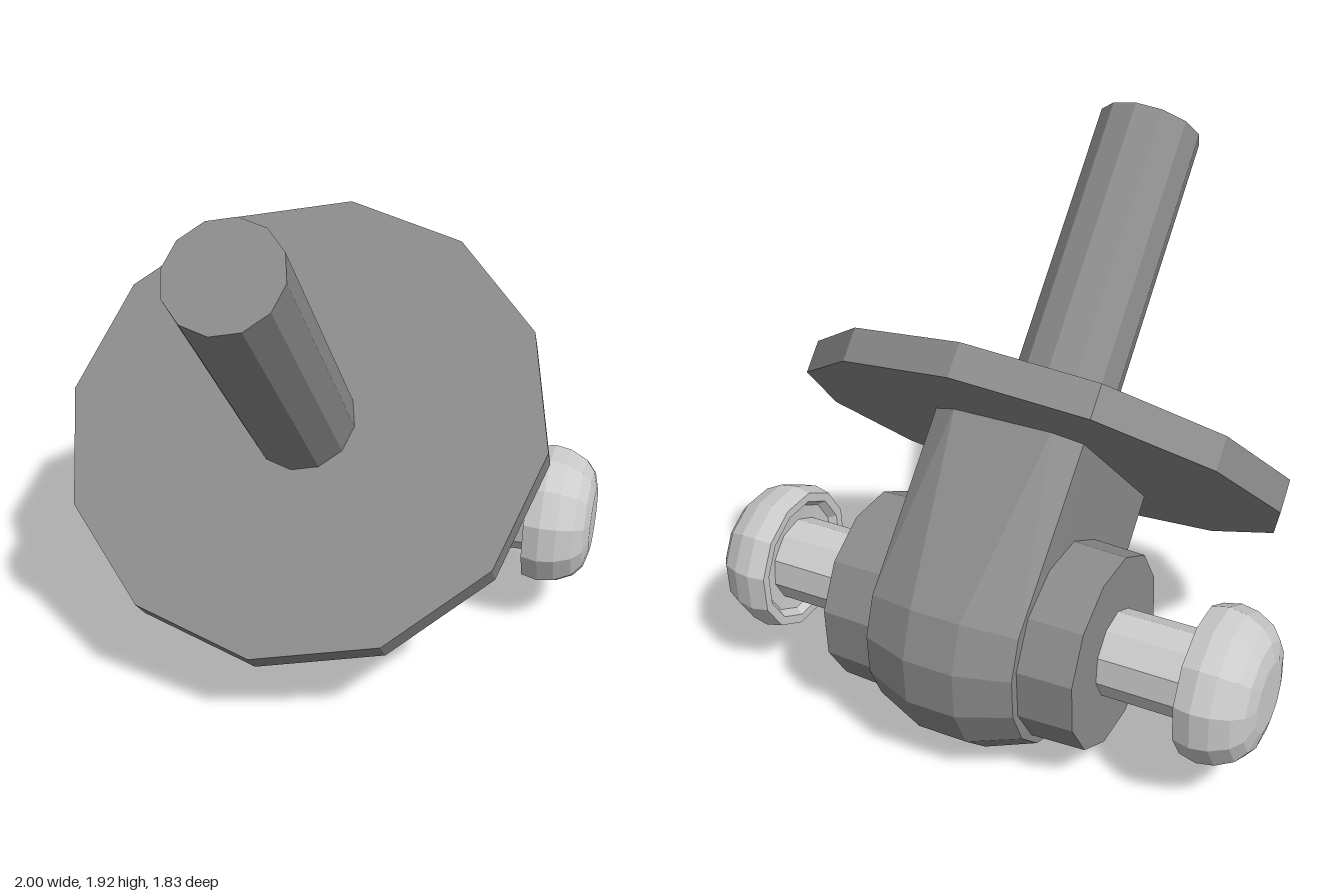
import * as THREE from 'three';
import { ConvexGeometry } from 'three/addons/geometries/ConvexGeometry.js';

const dark = new THREE.MeshStandardMaterial({ color: 0x8c8c8c, flatShading: true });
const light = new THREE.MeshStandardMaterial({ color: 0xcccccc, flatShading: true });

export function createModel() {
  const model = new THREE.Group();
  model.name = 'hingedRod';

  // Everything hangs on the pin axis and leans forward together
  const arm = new THREE.Group();
  arm.name = 'tiltedArm';
  arm.position.set(0, 0.433, -0.483);
  arm.rotation.x = THREE.MathUtils.degToRad(42.8);
  model.add(arm);

  const add = (name, geometry, material) => {
    const mesh = new THREE.Mesh(geometry, material);
    mesh.name = name;
    arm.add(mesh);
    return mesh;
  };

  // Rod and round plate
  add('rod', new THREE.CylinderGeometry(0.19, 0.19, 1.2, 12), dark).position.y = 1.254;
  add('plate', new THREE.CylinderGeometry(0.867, 0.867, 0.115, 12), dark).position.y = 0.643;

  // Knuckle: round-ended block, bulging towards its middle
  const points = [];
  const addSection = (x, radius, neckX, neckHalf) => {
    for (const side of [-1, 1]) {
      points.push(new THREE.Vector3(neckX, 0.59, side * neckHalf));
      for (let i = 0; i < 4; i++) {
        const a = THREE.MathUtils.degToRad(11.25 + 22.5 * i);
        points.push(new THREE.Vector3(x, -radius * Math.cos(a), side * radius * Math.sin(a)));
      }
    }
  };
  for (const s of [-1, 1]) {
    addSection(s * 0.09, 0.437, s * 0.18, 0.412);
    addSection(s * 0.27, 0.37, s * 0.275, 0.352);
  }
  add('knuckle', new ConvexGeometry(points), dark);

  // Knob profile: radius, distance from the centre
  const knobProfile = [
    [0.14, 0.8], [0.2, 0.795], [0.22, 0.77], [0.252, 0.77], [0.265, 0.83],
    [0.255, 0.89], [0.225, 0.95], [0.185, 0.983], [0.12, 1], [0, 1],
  ].map(([r, d]) => new THREE.Vector2(r, d));

  // Hub, pin and knob on each side
  for (const s of [-1, 1]) {
    const label = s > 0 ? 'left' : 'right';
    const hub = add(label + 'Hub', new THREE.CylinderGeometry(0.335, 0.345, 0.26, 12), dark);
    hub.position.x = s * 0.332;
    const pin = add(label + 'Pin',
      new THREE.CylinderGeometry(0.15, 0.15, 0.42, 10, 1, false, Math.PI / 2), light);
    pin.position.x = s * 0.61;
    const knob = add(label + 'Knob', new THREE.LatheGeometry(knobProfile, 12), light);
    for (const part of [hub, pin, knob]) part.rotation.z = -s * Math.PI / 2;
  }
  return model;
}
